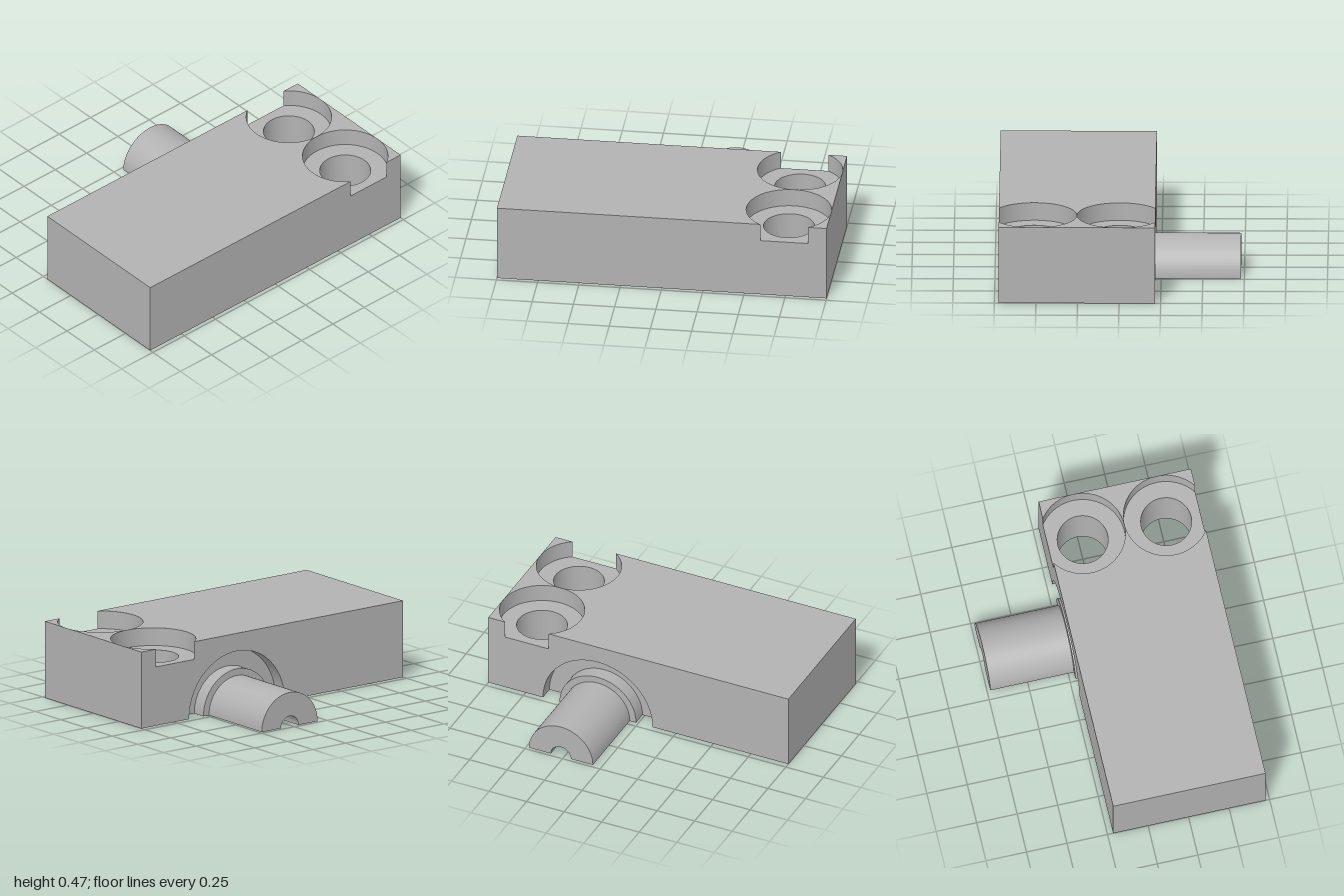
import * as THREE from 'three';
import { toCreasedNormals } from 'three/addons/utils/BufferGeometryUtils.js';

const X0 = -0.215, X1 = 0.725, MID = 0.255;       // block sides and centre line
const TOP = 0.475, SEAT = 0.365, KEY = 0.1;       // block top, counterbore floor, keyhole depth
const HOLE_S = 0.743, HOLE_X = [MID - 0.2575, MID + 0.2575];
const ROD_Z = -0.27, RECESS_R = 0.365, RECESS_X = -0.125;

export function createModel() {
  const group = new THREE.Group();
  const grey = new THREE.MeshStandardMaterial({ color: 0xb2b2b2 });
  grey.name = 'grey';

  function extrude(shape, depth) {
    return new THREE.ExtrudeGeometry(shape, { depth, bevelEnabled: false, curveSegments: 48 });
  }
  function add(name, geometry) {
    const mesh = new THREE.Mesh(toCreasedNormals(geometry, 0.5), grey);
    mesh.name = name;
    group.add(mesh);
  }
  // Footprint in (x, -z), raised from y0 to y1
  function slab(name, shape, y0, y1) {
    add(name, extrude(shape, y1 - y0).rotateX(-Math.PI / 2).translate(0, y0, 0));
  }
  // Cross-section in (z, y) about the rod axis, running from x = from towards -x
  function alongRod(name, shape, from, to) {
    add(name, extrude(shape, from - to).rotateY(-Math.PI / 2).translate(from, 0, ROD_Z));
  }

  // Block footprint with a notch for the rod recess and two bolt holes
  function footprint() {
    const s = new THREE.Shape();
    s.moveTo(X0, -1).lineTo(X1, -1).lineTo(X1, 1).lineTo(X0, 1);
    s.lineTo(X0, -ROD_Z + RECESS_R).lineTo(RECESS_X, -ROD_Z + RECESS_R);
    s.lineTo(RECESS_X, -ROD_Z - RECESS_R).lineTo(X0, -ROD_Z - RECESS_R);
    s.closePath();
    for (const x of HOLE_X) {
      s.holes.push(new THREE.Path().absarc(x, HOLE_S, 0.153, 0, Math.PI * 2, true));
    }
    return s;
  }

  // Bottom layer, with the keyhole slot
  const bottom = footprint();
  const r = 0.13, w = 0.043, a = Math.asin(w / r);
  const key = new THREE.Path();
  key.absarc(MID, -0.43, r, Math.PI / 2 - a, Math.PI / 2 + a, true);
  key.lineTo(MID - w, 0.35).lineTo(MID + w, 0.35);
  key.closePath();
  bottom.holes.push(key);
  slab('blockBottom', bottom, 0, KEY);
  slab('blockMiddle', footprint(), KEY, SEAT);

  // Top layer, with counterbores that break out through both sides
  const R = 0.2567, t = Math.acos((X1 - HOLE_X[1]) / R);
  const top = new THREE.Shape();
  top.moveTo(X0, -1).lineTo(X1, -1);
  top.absarc(HOLE_X[1], HOLE_S, R, -t, t, true);
  top.lineTo(X1, 1).lineTo(X0, 1);
  top.absarc(HOLE_X[0], HOLE_S, R, Math.PI - t, Math.PI + t, true);
  top.closePath();
  slab('blockTop', top, SEAT, TOP);

  // Corners that round the recess in the block's side
  for (const side of [1, -1]) {
    const c = new THREE.Shape();
    c.moveTo(side * RECESS_R, 0).lineTo(side * RECESS_R, RECESS_R).lineTo(0, RECESS_R);
    c.absarc(0, 0, RECESS_R, Math.PI / 2, side > 0 ? 0 : Math.PI, side > 0);
    alongRod('recessCorner', c, RECESS_X, X0);
  }

  // Half-round section, optionally grooved underneath
  function halfRound(radius, groove) {
    const s = new THREE.Shape();
    s.absarc(0, 0, radius, 0, Math.PI, false);
    if (groove) s.absarc(0, 0, groove, Math.PI, 0, true);
    s.closePath();
    return s;
  }
  alongRod('collarBase', halfRound(0.255, 0), RECESS_X, -0.15);
  alongRod('collar', halfRound(0.255, 0.067), -0.15, X0);
  alongRod('rod', halfRound(0.213, 0.067), X0, -0.73);

  return group;
}
